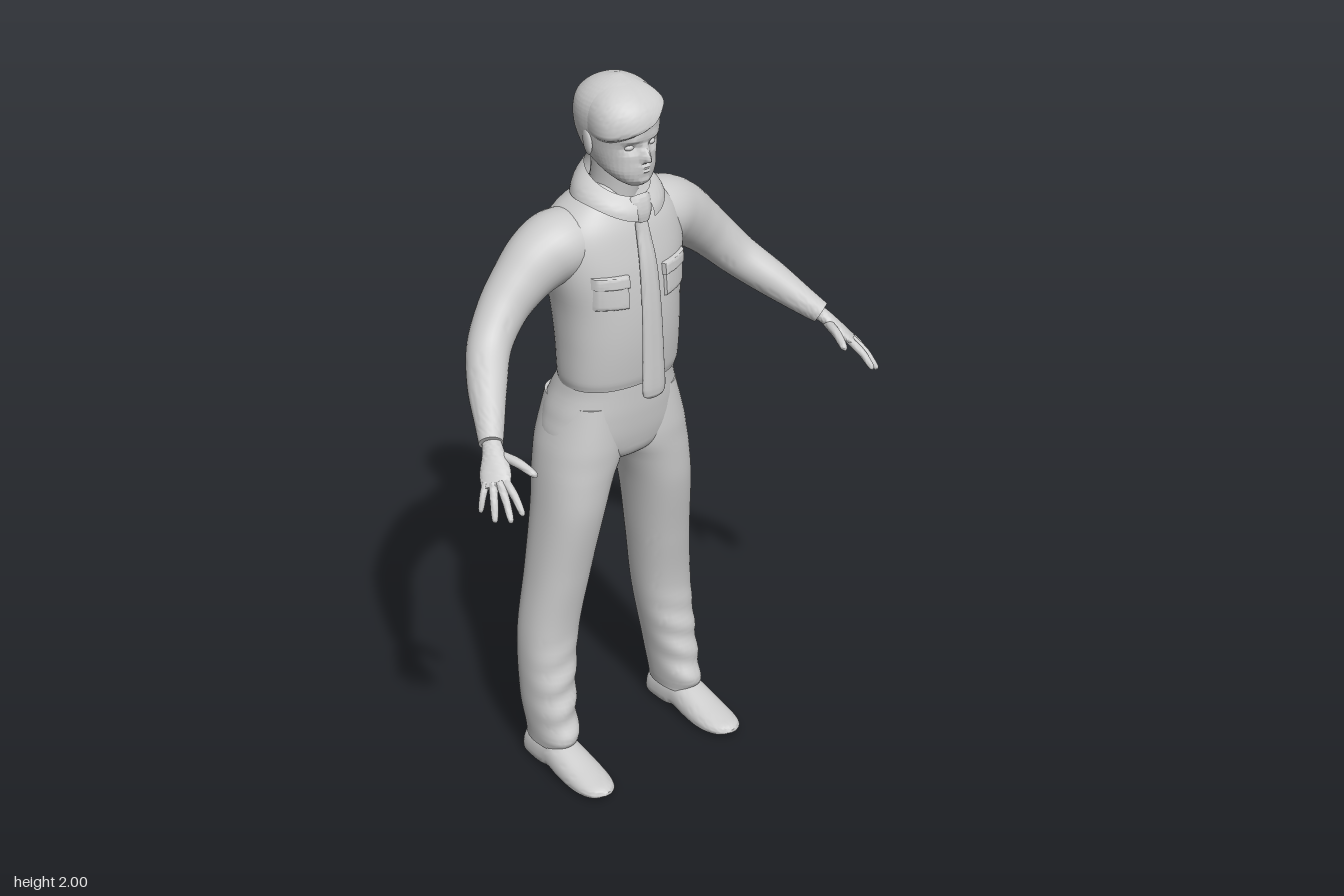
import * as THREE from 'three';
import { toCreasedNormals } from 'three/addons/utils/BufferGeometryUtils.js';

const { smoothstep, lerp, clamp } = THREE.MathUtils;
const V = (x, y, z) => new THREE.Vector3(x, y, z);
const clay = new THREE.MeshStandardMaterial({ color: 0xcccccc, side: THREE.DoubleSide });
clay.name = 'light grey';

// Smooth interpolation of table rows [key, ...values], keys ascending
function interp(rows, k) {
  let i = 0;
  while (i < rows.length - 2 && k > rows[i + 1][0]) i++;
  const a = rows[i], b = rows[i + 1], p = rows[Math.max(i - 1, 0)], q = rows[Math.min(i + 2, rows.length - 1)];
  const h = b[0] - a[0], t = clamp((k - a[0]) / h, 0, 1), t2 = t * t, t3 = t2 * t;
  return a.slice(1).map((va, j) => {
    const vb = b[j + 1];
    const ma = (vb - p[j + 1]) / (b[0] - p[0]) * h, mb = (q[j + 1] - va) / (q[0] - a[0]) * h;
    return (2 * t3 - 3 * t2 + 1) * va + (t3 - 2 * t2 + t) * ma + (3 * t2 - 2 * t3) * vb + (t3 - t2) * mb;
  });
}

// Surface from fn(u, v); capped closes both ends, s = -1 mirrors it in x
function surface(name, fn, nu, nv, { capped = false, s = 1, crease = 0.9 } = {}) {
  const rows = [];
  for (let j = 0; j <= nv; j++) {
    rows.push(Array.from({ length: nu + 1 }, (_, i) => fn(i / nu, j / nv)));
  }
  if (capped) {
    const hub = (r) => {
      const c = V(0, 0, 0);
      for (let i = 0; i < nu; i++) c.addScaledVector(r[i], 1 / nu);
      return r.map(() => c);
    };
    rows.unshift(hub(rows[0]));
    rows.push(hub(rows[rows.length - 1]));
  }
  const pos = [];
  const tri = (a, b, c) => {
    if (a.distanceTo(b) < 1e-7 || b.distanceTo(c) < 1e-7 || a.distanceTo(c) < 1e-7) return;
    for (const p of s > 0 ? [a, b, c] : [a, c, b]) pos.push(p.x * s, p.y, p.z);
  };
  for (let j = 0; j < rows.length - 1; j++) {
    for (let i = 0; i < nu; i++) {
      const a = rows[j][i], b = rows[j][i + 1], c = rows[j + 1][i + 1], d = rows[j + 1][i];
      tri(a, b, c);
      tri(a, c, d);
    }
  }
  const g = new THREE.BufferGeometry();
  g.setAttribute('position', new THREE.Float32BufferAttribute(pos, 3));
  const m = new THREE.Mesh(toCreasedNormals(g, crease), clay);
  m.name = name;
  return m;
}

const pw = (c, p) => Math.sign(c) * Math.pow(Math.abs(c), 2 / p);

// Point on an upright body with rows [y, xMin, xMax, zFront, zBack]
function bodyPoint(rows, y, th, p) {
  const [x0, x1, zf, zb] = interp(rows, y);
  return V((x0 + x1) / 2 + (x1 - x0) / 2 * pw(Math.sin(th), p), y, (zf + zb) / 2 + (zf - zb) / 2 * pw(Math.cos(th), p));
}
function body(name, rows, { p = 2.2, nu = 40, nv = 40, s = 1, shape = (q) => q } = {}) {
  const y0 = rows[0][0], y1 = rows[rows.length - 1][0];
  return surface(name, (u, v) => shape(bodyPoint(rows, lerp(y0, y1, 0.5 - 0.5 * Math.cos(Math.PI * v)), u * Math.PI * 2, p)),
    nu, nv, { capped: true, s });
}

// Tube along stations [x, y, z, halfWidth, halfDepth]; side is the width direction
function limb(name, stations, side, { s = 1, nu = 24, nv = 30 } = {}) {
  const rows = stations.map((r, i) => [i, ...r]), n = rows.length - 1;
  return surface(name, (u, v) => {
    const k = v * n, [x, y, z, a, b] = interp(rows, k);
    const T = V(...interp(rows, Math.min(k + 0.05, n))).sub(V(...interp(rows, Math.max(k - 0.05, 0)))).normalize();
    const W = side.clone().addScaledVector(T, -T.dot(side)).normalize();
    const N = T.clone().cross(W), th = u * Math.PI * 2;
    return V(x, y, z).addScaledVector(W, a * Math.cos(th)).addScaledVector(N, b * Math.sin(th));
  }, nu, nv, { capped: true, s });
}

function ellipsoid(name, x, y, z, rx, ry, rz) {
  const m = new THREE.Mesh(new THREE.SphereGeometry(1, 20, 14), clay);
  m.name = name;
  m.position.set(x, y, z);
  m.scale.set(rx, ry, rz);
  return m;
}

const sym = (rows) => rows.map(([y, h, f, b]) => [y, -h, h, f, b]);
const SHIRT = sym([[1.175, .168, .008, -.217], [1.2, .173, .015, -.219], [1.3, .175, .025, -.23], [1.4, .18, .025, -.246],
  [1.5, .198, .015, -.255], [1.57, .2, 0, -.256], [1.62, .183, -.015, -.247], [1.66, .145, -.035, -.228], [1.69, .1, -.05, -.2], [1.72, .062, -.06, -.17]]);
const HIPS = sym([[.925, .06, -.07, -.2], [.95, .13, -.03, -.235], [1, .2, -.012, -.26], [1.08, .194, -.002, -.267],
  [1.15, .173, 0, -.245], [1.195, .163, 0, -.212]]);
const LEG = [[.07, .17, .276, -.04, -.213], [.1, .165, .279, -.033, -.216], [.2, .155, .286, -.055, -.235], [.4, .12, .285, -.08, -.245],
  [.6, .09, .262, -.056, -.24], [.8, .058, .241, -.022, -.241], [.9, .028, .231, -.015, -.252], [.95, .004, .224, -.013, -.258],
  [1, .002, .214, -.012, -.26], [1.12, .02, .178, -.02, -.245]];
const HEAD = sym([[1.733, .026, -.003, -.05], [1.745, .045, .008, -.08], [1.77, .067, .013, -.13], [1.8, .08, .012, -.18],
  [1.84, .092, .01, -.207], [1.88, .1, .015, -.217], [1.92, .1, .012, -.216], [1.95, .09, 0, -.206],
  [1.975, .068, -.025, -.18], [1.99, .042, -.055, -.15], [1.999, .012, -.088, -.115]]);

// Brow, eye sockets, nose, lips and chin pressed into the front of the head
function faceShape(q) {
  if (q.z < -.06) return q;
  const { x, y } = q, g = (cx, cy, sx, sy) => Math.exp(-(((x - cx) / sx) ** 2) - ((y - cy) / sy) ** 2);
  q.z += -.013 * (g(.034, 1.84, .018, .011) + g(-.034, 1.84, .018, .011))
    + .005 * (g(.034, 1.862, .024, .008) + g(-.034, 1.862, .024, .008))
    + .024 * Math.exp(-((x / .012) ** 2)) * smoothstep(1.856 - y, 0, .045) * smoothstep(y, 1.794, 1.807)
    + .007 * (g(0, 1.787, .02, .005) + g(0, 1.775, .018, .005))
    + .005 * g(0, 1.748, .02, .012);
  return q;
}

// Raised patch lying on the shirt front
function shirtPatch(name, x0, x1, y0, y1, off, s) {
  return surface(name, (u, v) => {
    const x = lerp(x0, x1, u), y = lerp(y0, y1, v) + (x - x0) * .06;
    const [, rx, zf, zb] = interp(SHIRT, y);
    const z = (zf + zb) / 2 + (zf - zb) / 2 * Math.pow(1 - (x / rx) ** 2.3, 1 / 2.3);
    return V(x, y, z + lerp(-.004, off, clamp(Math.min(u, 1 - u, v, 1 - v) * 14, 0, 1)));
  }, 16, 16, { s });
}

export function createModel() {
  const model = new THREE.Group();
  model.name = 'standingMan';
  const add = (...m) => model.add(...m);
  const X = V(1, 0, 0);

  add(body('shirt', SHIRT, { p: 2.3, nu: 56 }), body('trouserHips', HIPS, { p: 2.3, nu: 56 }));

  // Head, neck and swept fringe
  add(body('head', HEAD, { p: 2.1, nu: 128, nv: 100, shape: faceShape }));
  add(limb('neck', [[0, 1.64, -.12, .068, .07], [0, 1.72, -.11, .06, .068], [0, 1.8, -.1, .06, .07]], X));
  const fringe = [[-1.7, 1.862], [-1.1, 1.85], [-.5, 1.862], [.05, 1.885], [.4, 1.92], [1.1, 1.968]];
  add(surface('hairFringe', (u, v) => {
    const th = lerp(-1.7, 1.1, u);
    const q = bodyPoint(HEAD, lerp(interp(fringe, th)[0], 1.997, v), th, 2.1);
    const d = V(q.x, 0, q.z + .1).normalize();
    const lift = smoothstep(v, 0, .18) * (1 - v * v) * smoothstep(u, 0, .3) * smoothstep(1 - u, 0, .2);
    return q.addScaledVector(d, -.004 + .028 * lift);
  }, 40, 24));

  // Collar folded down around the neck, open at the front
  add(surface('collar', (u, v) => {
    const th = lerp(.22, Math.PI * 2 - .22, u), c = Math.cos(th), f = Math.max(0, c);
    const bulge = .008 * Math.sin(Math.PI * v);
    return V((lerp(.122, .078, v) + bulge) * Math.sin(th), lerp(1.688 - .045 * f * f, 1.737 - .035 * c, v),
      -.1 + (lerp(.12, .09, v) + bulge) * c);
  }, 48, 8));

  // Necktie
  add(limb('tieBlade', [[0, 1.152, .045, .022, .008], [0, 1.17, .047, .037, .011], [0, 1.25, .045, .035, .012],
    [0, 1.4, .038, .031, .012], [0, 1.52, .024, .027, .012], [0, 1.6, .004, .021, .012], [0, 1.66, -.012, .016, .012]], X));
  add(limb('tieKnot', [[0, 1.635, .0, .019, .013], [0, 1.66, -.004, .03, .018], [0, 1.69, -.012, .034, .018], [0, 1.7, -.018, .028, .014]], X));

  for (const s of [1, -1]) {
    const tag = s > 0 ? 'left' : 'right';
    add(ellipsoid(tag + 'Eye', s * .034, 1.84, -.013, .015, .009, .013));
    const ear = ellipsoid(tag + 'Ear', s * .094, 1.845, -.1, .009, .036, .021);
    ear.rotation.set(-.15, s * .25, 0);
    add(ear);

    add(shirtPatch(tag + 'Pocket', .056, .148, 1.412, 1.5, .009, s));
    add(shirtPatch(tag + 'PocketFlap', .053, .151, 1.472, 1.506, .014, s));

    // Sleeve from shoulder to wrist
    add(limb(tag + 'Sleeve', [[.1, 1.575, -.13, .09, .085], [.17, 1.568, -.137, .097, .093], [.23, 1.543, -.14, .086, .088], [.29, 1.5, -.138, .073, .075],
      [.35, 1.445, -.13, .064, .065], [.415, 1.375, -.1, .057, .057], [.475, 1.313, -.03, .051, .049],
      [.525, 1.258, .045, .038, .037], [.552, 1.23, .085, .031, .03]], V(0, 0, 1), { s, nu: 32, nv: 48 }));

    // Hand
    const across = V(.04, -.01, -.05);
    add(limb(tag + 'Palm', [[.545, 1.235, .075, .023, .02], [.562, 1.213, .107, .029, .018],
      [.582, 1.184, .14, .04, .016], [.6, 1.16, .168, .037, .011]], across, { s }));
    const fingers = { Index: [.578, 1.167, .182, .587, 1.117, .258], Middle: [.594, 1.163, .18, .615, 1.102, .247],
      Ring: [.607, 1.158, .165, .636, 1.092, .208], Little: [.615, 1.158, .143, .643, 1.1, .158],
      Thumb: [.55, 1.208, .118, .516, 1.185, .222] };
    for (const [f, [a, b, c, d, e, g]] of Object.entries(fingers)) {
      const r = f === 'Thumb' ? .0125 : f === 'Little' ? .009 : .0105;
      const at = (t, k, up) => [lerp(a, d, t), lerp(b, e, t) + up, lerp(c, g, t), r * k, r * k];
      add(limb(tag + f, [at(-.15, 1, 0), at(.2, 1.05, .005), at(.5, .98, .008), at(.85, .82, .002), at(.97, .55, 0), at(1, .2, 0)],
        across, { s, nu: 12, nv: 16 }));
    }

    // Trouser leg with soft folds above the hem
    add(body(tag + 'TrouserLeg', LEG, { nu: 48, nv: 80, s, shape: (q) => {
      const fold = .005 * smoothstep(.45 - q.y, 0, .2) * Math.sin(q.y * 75 + q.x * 25);
      q.z += fold * smoothstep(q.z, -.2, -.06);
      return q;
    } }));

    // Shoe: rows [z, xIn, xOut, bottom, top]
    const shoe = [[-.212, .195, .252, .012, .05], [-.2, .181, .268, .002, .085], [-.15, .175, .276, 0, .1], [-.105, .174, .278, .004, .1],
      [-.08, .174, .28, .014, .098], [-.03, .171, .284, .006, .083], [.03, .17, .285, .002, .062], [.08, .177, .28, .005, .047],
      [.115, .194, .265, .011, .037], [.131, .217, .241, .018, .028]];
    add(surface(tag + 'Shoe', (u, v) => {
      const z = lerp(-.212, .131, .5 - .5 * Math.cos(Math.PI * v)), [x0, x1, y0, y1] = interp(shoe, z), th = u * Math.PI * 2;
      const flat = Math.sin(th) < 0 ? 4 : 2.1;
      const ym = lerp(y0, y1, .3), h = Math.sin(th) < 0 ? ym - y0 : y1 - ym;
      return V((x0 + x1) / 2 + (x1 - x0) / 2 * pw(Math.cos(th), flat), ym + h * pw(Math.sin(th), flat), z);
    }, 36, 36, { capped: true, s }));
  }
  return model;
}
